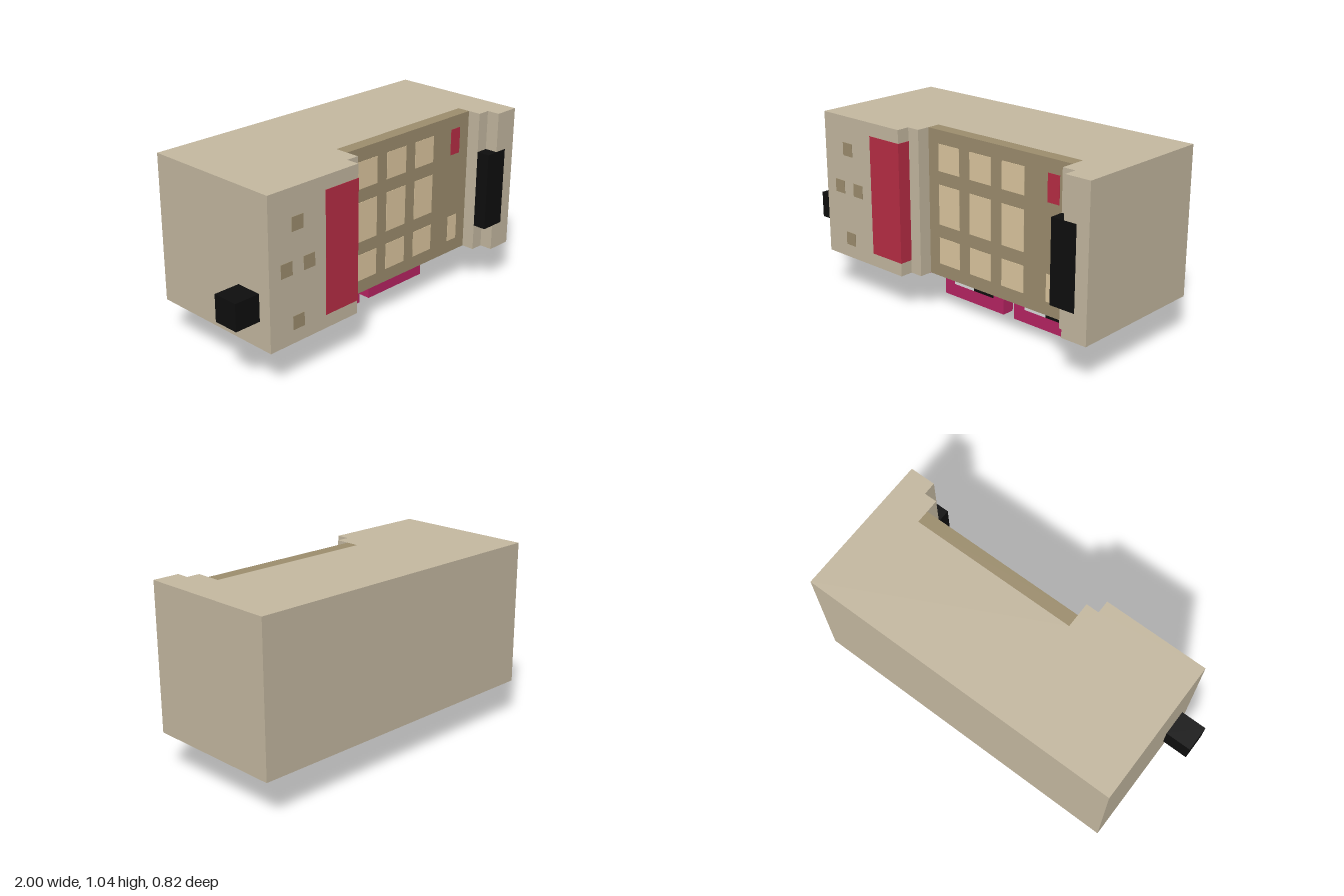
import * as THREE from 'three';

const U = 2 / 27; // one block of the grid
const E = 0.03;   // proud offset of painted plates, in blocks

const mat = (name, color) => {
  const m = new THREE.MeshStandardMaterial({ color });
  m.name = name;
  return m;
};

export function createModel() {
  const beige = mat('beige', 0xc5b9a1);
  const brown = mat('brown', 0x9d8e6e);
  const tan = mat('tan', 0xdec8a0);
  const red = mat('red', 0xb92d45);
  const magenta = mat('magenta', 0xb82463);
  const white = mat('paleGrey', 0xdedede);
  const black = mat('black', 0x0e0e0e);

  const model = new THREE.Group();
  model.name = 'blockHouse';

  // Box given by its limits in blocks
  const box = (name, material, x0, x1, y0, y1, z0, z1, parent = model) => {
    const g = new THREE.BoxGeometry((x1 - x0) * U, (y1 - y0) * U, (z1 - z0) * U);
    g.translate((x0 + x1) * U / 2, (y0 + y1) * U / 2, (z0 + z1) * U / 2);
    const mesh = new THREE.Mesh(g, material);
    mesh.name = name;
    parent.add(mesh);
    return mesh;
  };

  // Body: stepped floor plan (x, z) pulled upwards
  const plan = [
    [-11.5, -5.5], [13.5, -5.5], [13.5, 5.5], [11.5, 5.5], [11.5, 4.5], [10.5, 4.5],
    [10.5, 2.5], [-2.5, 2.5], [-2.5, 4.5], [-3.5, 4.5], [-3.5, 5.5], [-11.5, 5.5],
  ];
  const shape = new THREE.Shape(plan.map(([x, z]) => new THREE.Vector2(x * U, -z * U)));
  const bodyGeo = new THREE.ExtrudeGeometry(shape, { depth: 11 * U, bevelEnabled: false });
  bodyGeo.rotateX(-Math.PI / 2).translate(0, 3 * U, 0);
  const body = new THREE.Mesh(bodyGeo, beige);
  body.name = 'body';
  model.add(body);

  // Recessed front panel with its windows
  box('frontPanel', brown, -2.5, 10.5, 3, 14, 2.5, 3.5);
  for (const x of [-1.5, 1.5, 4.5]) {
    for (const [y0, y1] of [[4, 6], [7, 10], [11, 13]]) {
      box('window', tan, x, x + 2, y0, y1, 3.4, 3.5 + E);
    }
  }
  box('smallWindow', tan, 8.5, 9.5, 4, 6, 3.4, 3.5 + E);
  box('redLight', red, 8.5, 9.5, 11, 13, 3.4, 3.5 + E);

  // Red stripe, wrapping round the edge of the step
  box('redStripe', red, -6.5, -3.5 + E, 4, 13, 4.5, 5.5 + E);

  // Four spots on the front
  for (const [x, y] of [[-9.5, 11], [-10.5, 8], [-8.5, 8], [-9.5, 4]]) {
    box('spot', brown, x, x + 1, y, y + 1, 5.4, 5.5 + E);
  }

  // Handle beside the panel, and side knob
  box('handle', black, 10.5, 12.5, 5, 11, 4.5, 5.5 + E);
  box('sideKnob', black, -13.5, -11.5, 5, 7, 2.5, 4.5);

  // Spectacles under the body
  const glasses = new THREE.Group();
  glasses.name = 'glasses';
  model.add(glasses);
  for (const x of [-4, 3]) {
    box('frameBottom', magenta, x, x + 6, 0, 1, -0.5, 0.5, glasses);
    box('frameSide', magenta, x, x + 1, 1, 3, -0.5, 0.5, glasses);
    box('frameSide', magenta, x + 5, x + 6, 1, 3, -0.5, 0.5, glasses);
    box('lensWhite', white, x + 1, x + 3, 1, 3, -0.5, 0.5, glasses);
    box('lensBlack', black, x + 3, x + 5, 1, 3, -0.5, 0.5, glasses);
  }
  box('templeTip', magenta, -7, -6, 1, 3, -0.5, 0.5, glasses);

  return model;
}
